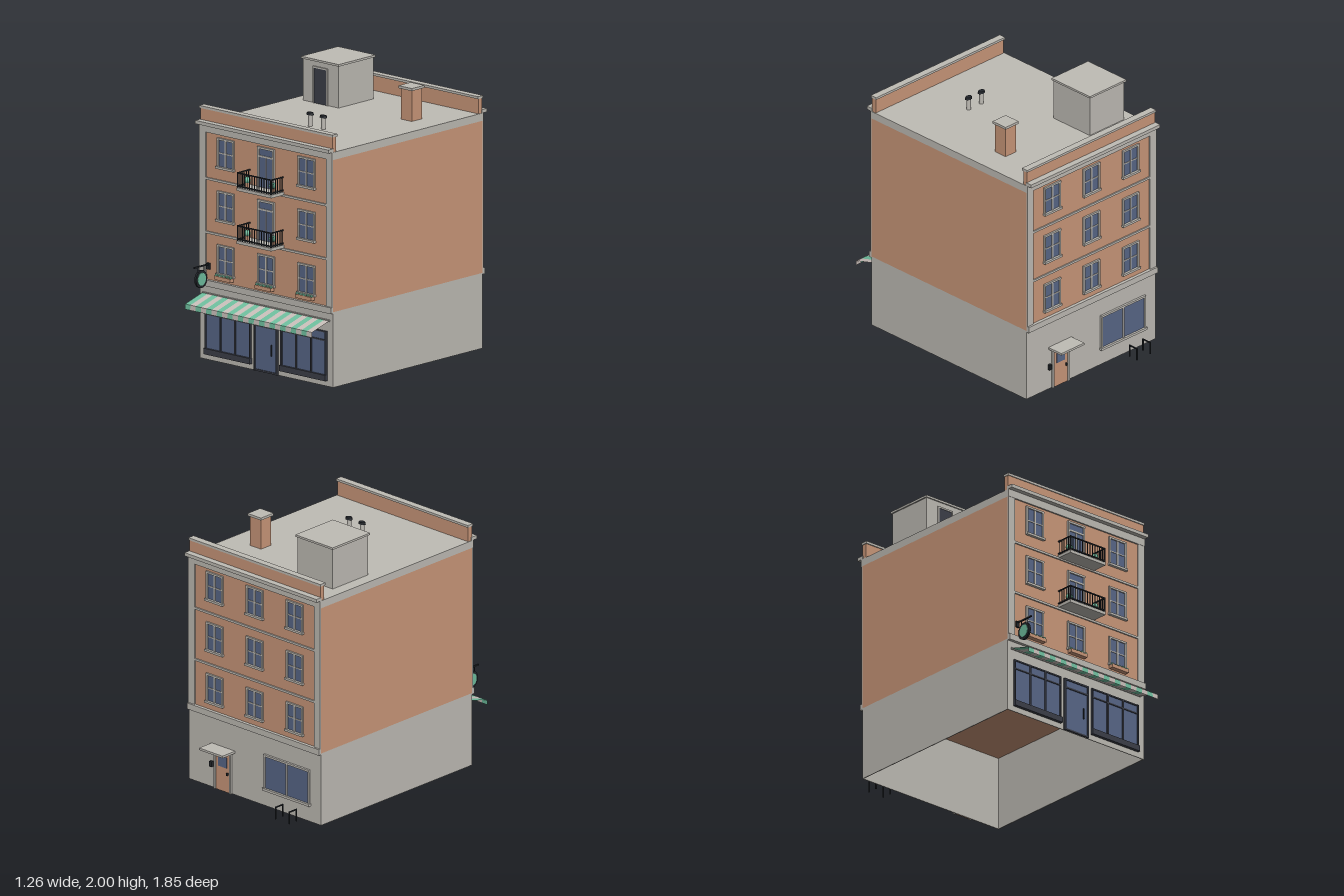
import * as THREE from 'three';

const mat = (name, color, side = THREE.FrontSide) => {
  const m = new THREE.MeshStandardMaterial({ color, side });
  m.name = name;
  return m;
};

export function createModel() {
  const stone = mat('stone', 0xbfbcb5);
  const brick = mat('brick', 0xcb987a);
  const glass = mat('glass', 0x586788);
  const dark = mat('dark frame', 0x3c3f49);
  const iron = mat('iron', 0x22262b);
  const green = mat('green', 0x6fbf9f, THREE.DoubleSide);
  const cream = mat('cream cloth', 0xc9bfba, THREE.DoubleSide);

  const model = new THREE.Group();
  model.name = 'townhouse';

  const group = (parent, name, x = 0, y = 0, z = 0) => {
    const g = new THREE.Group();
    g.name = name;
    g.position.set(x, y, z);
    parent.add(g);
    return g;
  };
  const add = (parent, name, geo, m, x = 0, y = 0, z = 0) => {
    const mesh = new THREE.Mesh(geo, m);
    mesh.name = name;
    mesh.position.set(x, y, z);
    parent.add(mesh);
    return mesh;
  };
  // box given by its limits on each axis
  const box = (parent, name, m, x0, x1, y0, y1, z0, z1) =>
    add(parent, name, new THREE.BoxGeometry(x1 - x0, y1 - y0, z1 - z0), m,
      (x0 + x1) / 2, (y0 + y1) / 2, (z0 + z1) / 2);

  const W = 0.63, F = 0.74, B = -0.79;

  // Ground floor: hollow shell, open underneath
  const rect = (S, e) => new S([[-W + e, -F + e], [W - e, -F + e], [W - e, -B - e], [-W + e, -B - e]]
    .map(([x, y]) => new THREE.Vector2(x, y)));
  const ring = rect(THREE.Shape, 0);
  ring.holes.push(rect(THREE.Path, 0.006));
  const shell = new THREE.ExtrudeGeometry(ring, { depth: 0.54, bevelEnabled: false });
  shell.rotateX(-Math.PI / 2);
  add(model, 'groundFloorWalls', shell, stone);
  box(model, 'upperWalls', brick, -W, W, 0.54, 1.63, B, F);
  box(model, 'roofSlab', stone, -W, W, 1.63, 1.685, B - 0.012, F + 0.012);

  // Four-pane window, standing on y0, on the plane z = 0
  const window4 = (parent, x, y0, h = 0.2) => {
    const g = group(parent, 'window', x, y0, 0);
    const w = 0.073;
    box(g, 'windowGlass', glass, -w, w, 0, h, 0, 0.004);
    for (const s of [-1, 1]) box(g, 'windowJamb', stone, s * w - 0.007, s * w + 0.007, 0, h, 0, 0.012);
    box(g, 'windowHead', stone, -w - 0.007, w + 0.007, h - 0.006, h + 0.008, 0, 0.013);
    box(g, 'windowMullion', stone, -0.006, 0.006, 0, h, 0, 0.009);
    box(g, 'windowTransom', stone, -w, w, h / 2 - 0.004, h / 2 + 0.004, 0, 0.008);
    box(g, 'windowSill', stone, -0.084, 0.084, -0.012, 0.004, 0, 0.022);
    return g;
  };

  // Trim shared by both facades
  const makeFacade = (name) => {
    const g = group(model, name);
    for (const s of [-1, 1]) box(g, 'cornerPilaster', stone, s * 0.6 - 0.03, s * 0.6 + 0.03, 0.575, 1.63, 0, 0.01);
    box(g, 'baseCornice', stone, -W, W, 0.53, 0.575, 0, 0.024);
    for (const y of [0.905, 1.29]) box(g, 'stringCourse', stone, -0.57, 0.57, y, y + 0.016, 0, 0.01);
    box(g, 'topCornice', stone, -W, W, 1.685, 1.71, -0.005, 0.048);
    box(g, 'parapet', brick, -0.625, 0.625, 1.685, 1.795, -0.036, 0.001);
    box(g, 'parapetCap', stone, -W, W, 1.793, 1.81, -0.044, 0.008);
    for (const [row, y] of [0.635, 1.02, 1.4].entries())
      for (const x of [-0.382, 0, 0.382])
        if (name === 'backFacade' || row === 0 || x !== 0) window4(g, x, y);
    return g;
  };
  const front = makeFacade('frontFacade');
  front.position.z = F;
  const back = makeFacade('backFacade');
  back.position.z = B;
  back.rotation.y = Math.PI;

  // Flower boxes under the first row of front windows
  for (const x of [-0.382, 0, 0.382]) {
    const g = group(front, 'flowerBox', x, 0.597, 0);
    box(g, 'planter', brick, -0.075, 0.075, 0, 0.026, 0.004, 0.04);
    for (let i = 0; i < 9; i++)
      add(g, 'leaves', new THREE.IcosahedronGeometry(0.012, 0), green,
        (i - 4) * 0.017, 0.029 + 0.004 * Math.sin(i * 2.4), 0.023 + 0.006 * Math.cos(i * 3.1));
  }

  // Balconies with glazed doors
  for (const y of [0.92, 1.3]) {
    const g = group(front, 'balcony', 0, y, 0);
    box(g, 'doorGlass', glass, -0.068, 0.068, 0.01, 0.3, 0, 0.004);
    for (const s of [-1, 1]) box(g, 'doorJamb', stone, s * 0.07 - 0.008, s * 0.07 + 0.008, 0, 0.305, 0, 0.012);
    box(g, 'doorHead', stone, -0.078, 0.078, 0.297, 0.312, 0, 0.014);
    box(g, 'doorTransom', stone, -0.07, 0.07, 0.238, 0.25, 0, 0.01);
    box(g, 'doorMullion', stone, -0.003, 0.003, 0, 0.24, 0, 0.008);
    box(g, 'balconySlab', stone, -0.163, 0.163, 0, 0.022, 0, 0.13);
    for (const h of [0.034, 0.128]) {
      box(g, 'frontRail', iron, -0.162, 0.162, h - 0.004, h + 0.004, 0.12, 0.129);
      for (const s of [-1, 1]) box(g, 'sideRail', iron, s * 0.158 - 0.004, s * 0.158 + 0.004, h - 0.004, h + 0.004, 0, 0.129);
    }
    const bar = (x, z, r) => box(g, 'railBar', iron, x - r, x + r, 0.02, 0.13, z - r, z + r);
    for (let i = 0; i <= 14; i++) bar(-0.158 + i * 0.316 / 14, 0.1245, i % 14 ? 0.0022 : 0.0045);
    for (const s of [-1, 1]) {
      for (let i = 0; i < 5; i++) bar(s * 0.158, 0.012 + i * 0.023, 0.0022);
      add(g, 'plantPot', new THREE.CylinderGeometry(0.019, 0.014, 0.032, 10), brick, s * 0.12, 0.038, 0.068);
      add(g, 'plant', new THREE.IcosahedronGeometry(0.025, 1), green, s * 0.12, 0.072, 0.068);
    }
  }

  // Shop windows
  for (const s of [-1, 1]) {
    const g = group(front, 'shopWindow', s * 0.358, 0, 0);
    box(g, 'shopGlass', glass, -0.21, 0.21, 0.07, 0.39, 0, 0.006);
    box(g, 'shopSill', dark, -0.218, 0.218, 0.04, 0.082, 0, 0.024);
    for (const x of [-0.21, -0.07, 0.07, 0.21]) box(g, 'shopMullion', dark, x - 0.006, x + 0.006, 0.08, 0.395, 0, 0.014);
    for (const y of [0.328, 0.39]) box(g, 'shopTransom', dark, -0.21, 0.21, y - 0.005, y + 0.005, 0, 0.013);
  }

  // Shop door
  const door = group(front, 'shopDoor');
  box(door, 'shopDoorGlass', glass, -0.1, 0.1, 0.012, 0.39, 0, 0.006);
  for (const s of [-1, 1]) box(door, 'shopDoorJamb', dark, s * 0.105 - 0.006, s * 0.105 + 0.006, 0, 0.395, 0, 0.014);
  for (const y of [0.008, 0.328, 0.39]) box(door, 'shopDoorRail', dark, -0.105, 0.105, y - 0.006, y + 0.006, 0, 0.013);
  box(door, 'shopDoorHandle', iron, 0.058, 0.064, 0.13, 0.21, 0.012, 0.022);

  // Striped awning: one bent strip of cloth per stripe
  const awning = group(front, 'awning');
  const profile = [[0.475, 0.004], [0.424, 0.184], [0.387, 0.187]];
  for (let i = 0; i < 24; i++) {
    const x0 = -0.6 + i * 0.05, pos = [];
    for (const [y, z] of profile) pos.push(x0, y, z, x0 + 0.05, y, z);
    const geo = new THREE.BufferGeometry();
    geo.setAttribute('position', new THREE.Float32BufferAttribute(pos, 3));
    geo.setIndex([0, 2, 3, 0, 3, 1, 2, 4, 5, 2, 5, 3]);
    const flat = geo.toNonIndexed();
    flat.computeVertexNormals();
    add(awning, 'awningStripe', flat, i % 2 ? cream : green);
  }
  box(awning, 'awningRail', stone, -0.6, 0.6, 0.468, 0.48, 0, 0.01);

  // Hanging sign
  const sign = group(front, 'hangingSign', -0.545, 0, 0);
  box(sign, 'signWallPlate', iron, -0.013, 0.013, 0.65, 0.695, 0, 0.014);
  box(sign, 'signBracket', iron, -0.005, 0.005, 0.68, 0.69, 0, 0.155);
  for (const z of [0.05, 0.115]) box(sign, 'signHanger', iron, -0.002, 0.002, 0.64, 0.685, z - 0.002, z + 0.002);
  for (const [name, r, w, m] of [['signBoard', 0.064, 0.016, iron], ['signFace', 0.046, 0.022, green]]) {
    const geo = new THREE.CylinderGeometry(r, r, w, 20);
    geo.rotateZ(Math.PI / 2);
    add(sign, name, geo, m, 0, 0.594, 0.083).scale.z = 0.9;
  }

  // Back door with canopy and wall lamp (facade-local x is mirrored)
  const rear = group(back, 'backDoor', -0.303, 0, 0);
  box(rear, 'backDoorLeaf', brick, -0.068, 0.068, 0, 0.285, 0, 0.008);
  for (const s of [-1, 1]) box(rear, 'backDoorJamb', stone, s * 0.074 - 0.008, s * 0.074 + 0.008, 0, 0.295, 0, 0.016);
  box(rear, 'backDoorHead', stone, -0.082, 0.082, 0.283, 0.297, 0, 0.016);
  box(rear, 'backDoorGlass', glass, -0.04, 0.04, 0.18, 0.26, 0.006, 0.011);
  box(rear, 'backDoorHandle', iron, 0.046, 0.054, 0.13, 0.15, 0.006, 0.022);
  box(rear, 'canopy', stone, -0.112, 0.112, 0.312, 0.328, 0, 0.128);
  box(rear, 'wallLamp', iron, -0.118, -0.096, 0.155, 0.195, 0, 0.02);

  // Back window
  const wide = group(back, 'backWindow', 0.308, 0, 0);
  box(wide, 'backWindowGlass', glass, -0.21, 0.21, 0.13, 0.38, 0, 0.006);
  for (const x of [-0.21, 0, 0.21]) box(wide, 'backWindowMullion', stone, x - 0.007, x + 0.007, 0.13, 0.38, 0, 0.014);
  box(wide, 'backWindowHead', stone, -0.217, 0.217, 0.373, 0.388, 0, 0.016);
  box(wide, 'backWindowSill', stone, -0.224, 0.224, 0.118, 0.136, 0, 0.022);

  // Bike stands
  for (const x of [0.32, 0.45]) {
    const g = group(back, 'bikeStand', x, 0, 0);
    for (const z of [0.06, 0.132]) box(g, 'standLeg', iron, -0.004, 0.004, 0, 0.09, z - 0.004, z + 0.004);
    box(g, 'standTop', iron, -0.004, 0.004, 0.084, 0.092, 0.056, 0.136);
  }

  // Roof hut
  const hut = group(model, 'roofHut', -0.37, 1.685, -0.397);
  box(hut, 'hutWalls', stone, -0.168, 0.168, 0, 0.302, -0.178, 0.18);
  box(hut, 'hutRoof', stone, -0.178, 0.178, 0.3, 0.315, -0.19, 0.19);
  box(hut, 'hutDoor', dark, -0.06, 0.06, 0, 0.255, 0.178, 0.185);
  for (const s of [-1, 1]) box(hut, 'hutDoorJamb', stone, s * 0.064 - 0.005, s * 0.064 + 0.005, 0, 0.262, 0.178, 0.189);
  box(hut, 'hutDoorHead', stone, -0.069, 0.069, 0.252, 0.264, 0.178, 0.189);

  // Chimney
  const chimney = group(model, 'chimney', 0.38, 1.685, -0.332);
  box(chimney, 'chimneyStack', brick, -0.052, 0.052, 0, 0.225, -0.052, 0.052);
  box(chimney, 'chimneyCap', stone, -0.064, 0.064, 0.222, 0.24, -0.064, 0.064);

  // Roof vents
  for (const x of [0, 0.125]) {
    const g = group(model, 'roofVent', x, 1.685, 0.293);
    add(g, 'ventPipe', new THREE.CylinderGeometry(0.016, 0.016, 0.085, 12), stone, 0, 0.042, 0);
    add(g, 'ventCap', new THREE.CylinderGeometry(0.026, 0.03, 0.016, 12), iron, 0, 0.09, 0).scale.z = 0.7;
  }
  return model;
}
